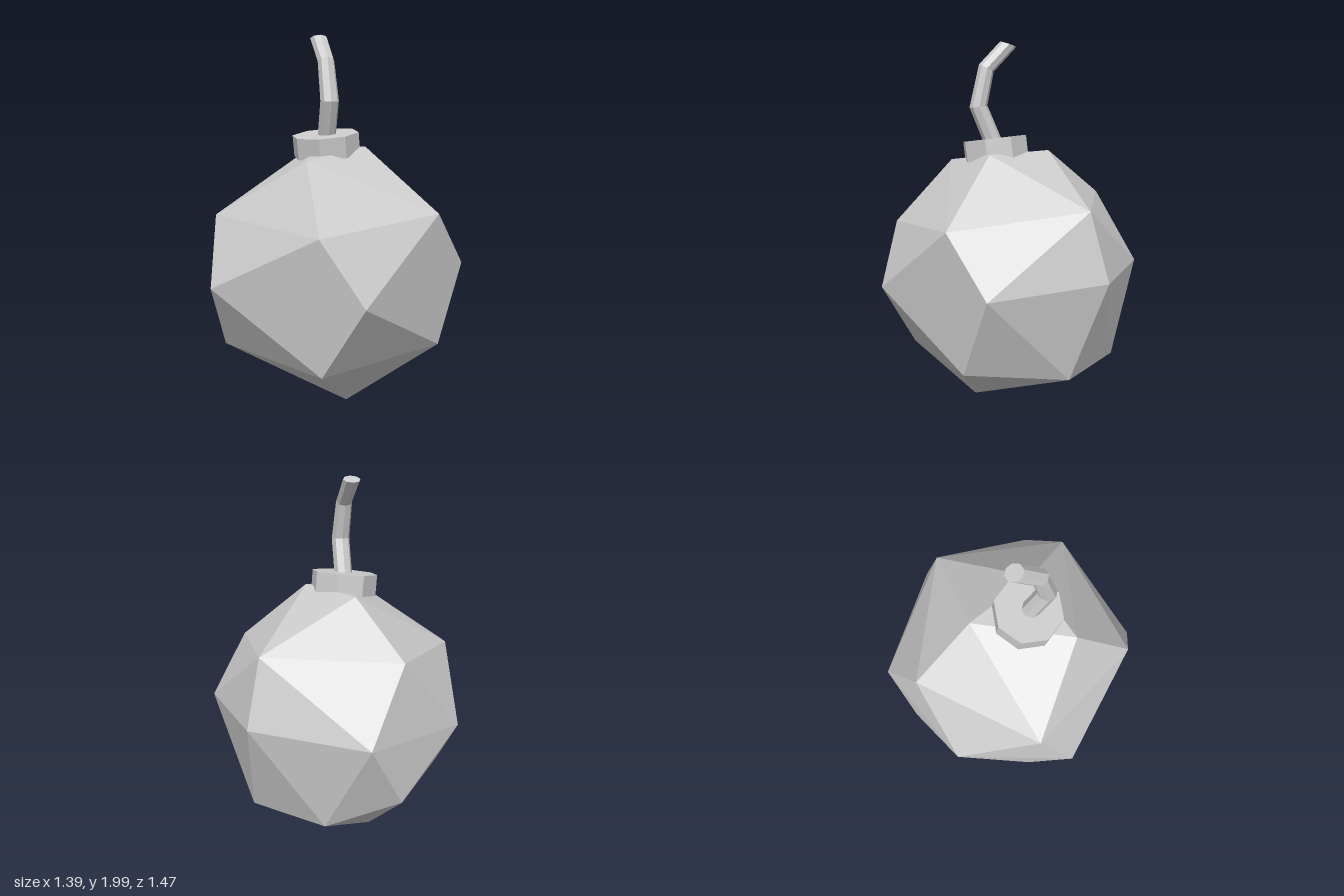
import * as THREE from 'three';
import { ConvexGeometry } from 'three/addons/geometries/ConvexGeometry.js';

const material = new THREE.MeshStandardMaterial({ color: 0xcccccc, flatShading: true });

function part(name, geometry) {
  const mesh = new THREE.Mesh(geometry, material);
  mesh.name = name;
  return mesh;
}

// Roughly cut ball: corners listed in tiers from the crown down
function makeBody() {
  const corners = [
    // crown
    [-0.2, 1.34, 0.315], [0.155, 1.4, 0.137], [-0.05, 1.4, -0.22],
    // shoulder
    [-0.2, 0.99, 0.637], [0.49, 1.058, 0.395], [0.475, 1.14, -0.338], [-0.23, 1.13, -0.55], [-0.65, 1.04, 0.05],
    // waist
    [0.01, 0.655, 0.73], [0.695, 0.752, 0.216], [0.555, 0.78, -0.422], [-0.02, 0.752, -0.735],
    [-0.58, 0.71, -0.405], [-0.697, 0.677, 0.24],
    // lower tier
    [-0.17, 0.262, 0.55], [0.527, 0.322, 0.32], [0.52, 0.26, -0.23], [0.18, 0.26, -0.55],
    [-0.21, 0.4, -0.63], [-0.61, 0.305, 0.01],
    // base edge
    [-0.16, 0.005, -0.14], [0.035, 0, 0.213],
  ];
  return new ConvexGeometry(corners.map((c) => new THREE.Vector3(...c)));
}

// Bent cord: each ring of a cylinder is tilted and moved to its own station
function makeFuse() {
  const stations = [ // x, y, z, radius, tilt about x
    [-0.075, 1.98, 0.004, 0.047, -0.32],
    [-0.06, 1.852, 0.127, 0.045, -0.45],
    [-0.05, 1.645, 0.173, 0.05, 0.1],
    [-0.05, 1.43, 0.085, 0.05, 0.35],
  ];
  const geometry = new THREE.CylinderGeometry(1, 1, 3, 8, 3);
  const pos = geometry.attributes.position;
  const v = new THREE.Vector3();
  const xAxis = new THREE.Vector3(1, 0, 0);
  for (let i = 0; i < pos.count; i++) {
    v.fromBufferAttribute(pos, i);
    const [x, y, z, r, tilt] = stations[Math.round(1.5 - v.y)];
    v.set(v.x * r, 0, v.z * r).applyAxisAngle(xAxis, tilt);
    pos.setXYZ(i, v.x + x, v.y + y, v.z + z);
  }
  geometry.computeVertexNormals();
  return geometry;
}

export function createModel() {
  const model = new THREE.Group();
  model.name = 'roundBomb';
  model.add(part('body', makeBody()));

  // Eight-sided cap, leaning with the crown
  const collar = part('collar', new THREE.CylinderGeometry(0.183, 0.183, 0.115, 8));
  collar.geometry.rotateY(Math.PI / 8);
  collar.position.set(-0.05, 1.412, 0.08);
  collar.quaternion.setFromUnitVectors(
    new THREE.Vector3(0, 1, 0), new THREE.Vector3(-0.1, 1, 0.1).normalize());
  model.add(collar);

  model.add(part('fuse', makeFuse()));
  return model;
}
